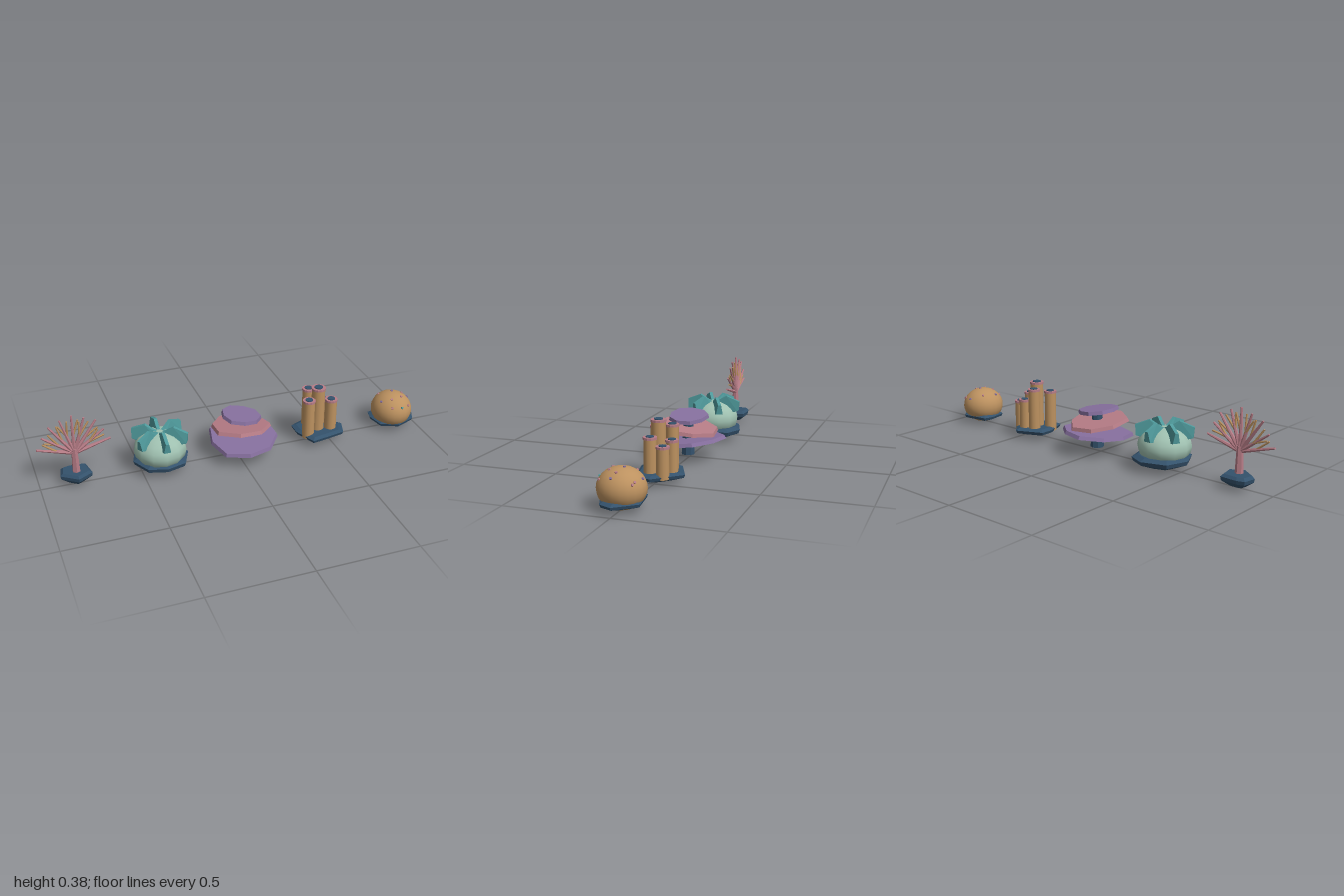
import * as THREE from 'three';

const mat = (name, color) => Object.assign(new THREE.MeshStandardMaterial({ color }), { name });

export function createModel() {
  const navy = mat('rock navy', 0x34526c), teal = mat('teal', 0x4f9a9c), mint = mat('mint', 0x9fc0b0);
  const pink = mat('dusty pink', 0xb67c86), purple = mat('purple', 0x87709f), tan = mat('tan', 0xbd9260);
  for (const m of [navy, teal, pink, purple]) m.flatShading = true;

  const model = new THREE.Group();
  model.name = 'coralSet';
  const group = (name, x) => {
    const g = new THREE.Group();
    g.name = name;
    g.position.x = x;
    model.add(g);
    return g;
  };
  const add = (parent, name, geo, material, x = 0, y = 0, z = 0) => {
    const m = new THREE.Mesh(geo, material);
    m.name = name;
    m.position.set(x, y, z);
    parent.add(m);
    return m;
  };

  // Stack of scaled copies of an outline: rings are [height, scale]
  const loft = (outline, rings) => {
    const pts = [...outline].sort((a, b) => Math.atan2(a[1], a[0]) - Math.atan2(b[1], b[0]));
    const n = pts.length, pos = [], idx = [];
    for (const [y, s] of rings) for (const [x, z] of pts) pos.push(x * s, y, z * s);
    for (let r = 0; r < rings.length - 1; r++) {
      for (let i = 0; i < n; i++) {
        const a = r * n + i, b = r * n + (i + 1) % n;
        idx.push(a, a + n, b + n, a, b + n, b);
      }
    }
    const g = new THREE.BufferGeometry();
    g.setAttribute('position', new THREE.Float32BufferAttribute(pos, 3));
    g.setIndex(idx);
    const flat = g.toNonIndexed();
    flat.computeVertexNormals();
    return flat;
  };
  const rock = (parent, outline, h) => add(parent, 'rockBase', loft(outline,
    [[0, 0], [0.003, 0.45], [h * 0.5, 0.95], [h * 0.8, 1], [h, 0.82], [h, 0]]), navy);

  // Tapered rod between two points
  const rod = (parent, name, a, b, r0, r1, material) => {
    const d = b.clone().sub(a);
    const m = add(parent, name, new THREE.CylinderGeometry(r1, r0, d.length(), 6), material);
    m.position.copy(a).addScaledVector(d, 0.5);
    m.quaternion.setFromUnitVectors(new THREE.Vector3(0, 1, 0), d.normalize());
  };

  // Fan coral: a flat spray of pink branches with tan twigs between
  const fan = group('fanCoral', -0.82);
  rock(fan, [[-0.068, -0.06], [-0.03, -0.07], [0.058, -0.065], [0.074, 0.02], [0, 0.062], [-0.08, 0.005]], 0.062);
  rod(fan, 'trunk', new THREE.Vector3(0, 0.04, 0), new THREE.Vector3(0, 0.19, 0), 0.021, 0.015, pink);
  const spray = (deg, k, z) => new THREE.Vector3(
    0.183 * k * Math.sin(deg * Math.PI / 180), 0.165 + 0.203 * k * Math.cos(deg * Math.PI / 180), z);
  for (let i = -4; i <= 4; i++) {
    const z = (i % 2) * 0.004;
    const tip = spray(i * 19, i % 2 ? 0.96 : 1, z);
    rod(fan, 'branch', new THREE.Vector3(0, 0.165, 0), tip, 0.011, 0.005, pink);
    if (i < 4) rod(fan, 'twig', spray(i * 19, 0.45, z), spray(i * 19 + 10, 0.88, -z), 0.006, 0.004, tan);
    if (i > -4 && i % 2) rod(fan, 'twig', spray(i * 19, 0.5, z), spray(i * 19 - 7, 0.84, z), 0.006, 0.004, tan);
  }

  // Crowned coral: mint dome with six teal fins
  const crown = group('crownCoral', -0.4);
  rock(crown, [[0.025, -0.155], [-0.1, -0.115], [-0.14, 0], [-0.09, 0.1], [0.005, 0.127],
    [0.1, 0.1], [0.142, 0], [0.11, -0.115]], 0.068);
  add(crown, 'dome', new THREE.SphereGeometry(1, 12, 10).scale(0.132, 0.095, 0.132), mint, 0, 0.107, 0);
  const profile = new THREE.Shape([[0, 0.15], [0.09, 0.14], [0.137, 0.153], [0.142, 0.203],
    [0.072, 0.231], [0.03, 0.205], [0, 0.195]].map(p => new THREE.Vector2(...p)));
  for (let i = 0; i < 6; i++) {
    const geo = new THREE.ExtrudeGeometry(profile, { depth: 0.036, bevelEnabled: false }).translate(0, 0, -0.018);
    const p = geo.attributes.position;
    for (let j = 0; j < p.count; j++) if (p.getY(j) > 0.18) p.setZ(j, p.getZ(j) * 0.45);
    geo.computeVertexNormals();
    add(crown, 'fin', geo, teal).rotation.y = Math.PI / 6 + i * Math.PI / 3;
  }

  // Table coral: three tilted plates on a stem
  const table = group('tableCoral', 0.025);
  add(table, 'stem', new THREE.CylinderGeometry(0.026, 0.034, 0.19, 8), navy, 0, 0.108, 0);
  const plate = (name, material, sides, rx, rz, x, y, tiltX, tiltZ) => {
    const outline = Array.from({ length: sides }, (_, i) => {
      const a = (i + 0.4) * 2 * Math.PI / sides, k = 1 + 0.05 * Math.sin(i * 2.3 + 1);
      return [rx * k * Math.cos(a), rz * k * Math.sin(a)];
    });
    const m = add(table, name, loft(outline, [[-0.009, 0], [-0.009, 1], [0.009, 0.96], [0.009, 0]]), material, x, y, 0);
    m.rotation.set(tiltX, 0, tiltZ);
  };
  plate('lowerPlate', purple, 9, 0.174, 0.186, 0.003, 0.089, 0.1, 0.03);
  plate('middlePlate', pink, 8, 0.15, 0.152, -0.008, 0.151, -0.14, -0.04);
  plate('upperPlate', purple, 9, 0.102, 0.1, -0.004, 0.206, -0.02, -0.14);

  // Tube coral: six tan pipes with pink rims and dark mouths
  const tubes = group('tubeCoral', 0.455);
  rock(tubes, [[0.015, -0.14], [0.135, -0.012], [0.107, 0.072], [-0.075, 0.107], [-0.122, -0.01], [-0.122, -0.08]], 0.05);
  for (const [x, z, h, r] of [[-0.075, 0.03, 0.24, 0.03], [-0.01, -0.003, 0.285, 0.034], [-0.042, -0.058, 0.26, 0.03],
    [0.056, 0.014, 0.216, 0.03], [0.01, -0.075, 0.2, 0.028], [0.065, -0.05, 0.18, 0.03]]) {
    add(tubes, 'tube', new THREE.CylinderGeometry(r, r * 1.03, h - 0.03, 12), tan, x, (h + 0.03) / 2 - 0.003, z);
    add(tubes, 'rim', new THREE.CylinderGeometry(r + 0.003, r + 0.003, 0.011, 12), pink, x, h - 0.0055, z);
    add(tubes, 'mouth', new THREE.CylinderGeometry(r * 0.65, r * 0.65, 0.008, 10), navy, x, h, z);
  }

  // Boulder coral: tan dome with small polyps
  const ball = group('boulderCoral', 0.873);
  rock(ball, [[-0.095, -0.08], [0.045, -0.1], [0.127, 0], [0.1, 0.06], [0, 0.1], [-0.09, 0.06], [-0.108, -0.03]], 0.045);
  const [rx, ry, rz, cy] = [0.106, 0.094, 0.11, 0.086];
  add(ball, 'dome', new THREE.SphereGeometry(1, 20, 14).scale(rx, ry, rz), tan, 0, cy, 0);
  const polyps = [[0, -0.095], [0.065, -0.075], [-0.055, -0.05], [0.005, -0.015], [0.03, 0.042], [0.055, 0],
    [0.08, 0.015], [0.052, -0.08], [-0.028, 0.05], [-0.075, 0.025], [0.056, 0.078], [-0.04, 0.085], [0.012, 0.095]];
  polyps.forEach(([x, z], i) => {
    const y = ry * Math.sqrt(Math.max(0, 1 - (x / rx) ** 2 - (z / rz) ** 2));
    const m = add(ball, 'polyp', new THREE.CylinderGeometry(0.006, 0.008, 0.009, 5),
      i === polyps.length - 1 ? teal : i % 3 ? pink : purple, x, cy + y, z);
    m.quaternion.setFromUnitVectors(new THREE.Vector3(0, 1, 0),
      new THREE.Vector3(x / rx ** 2, y / ry ** 2, z / rz ** 2).normalize());
  });

  return model;
}
